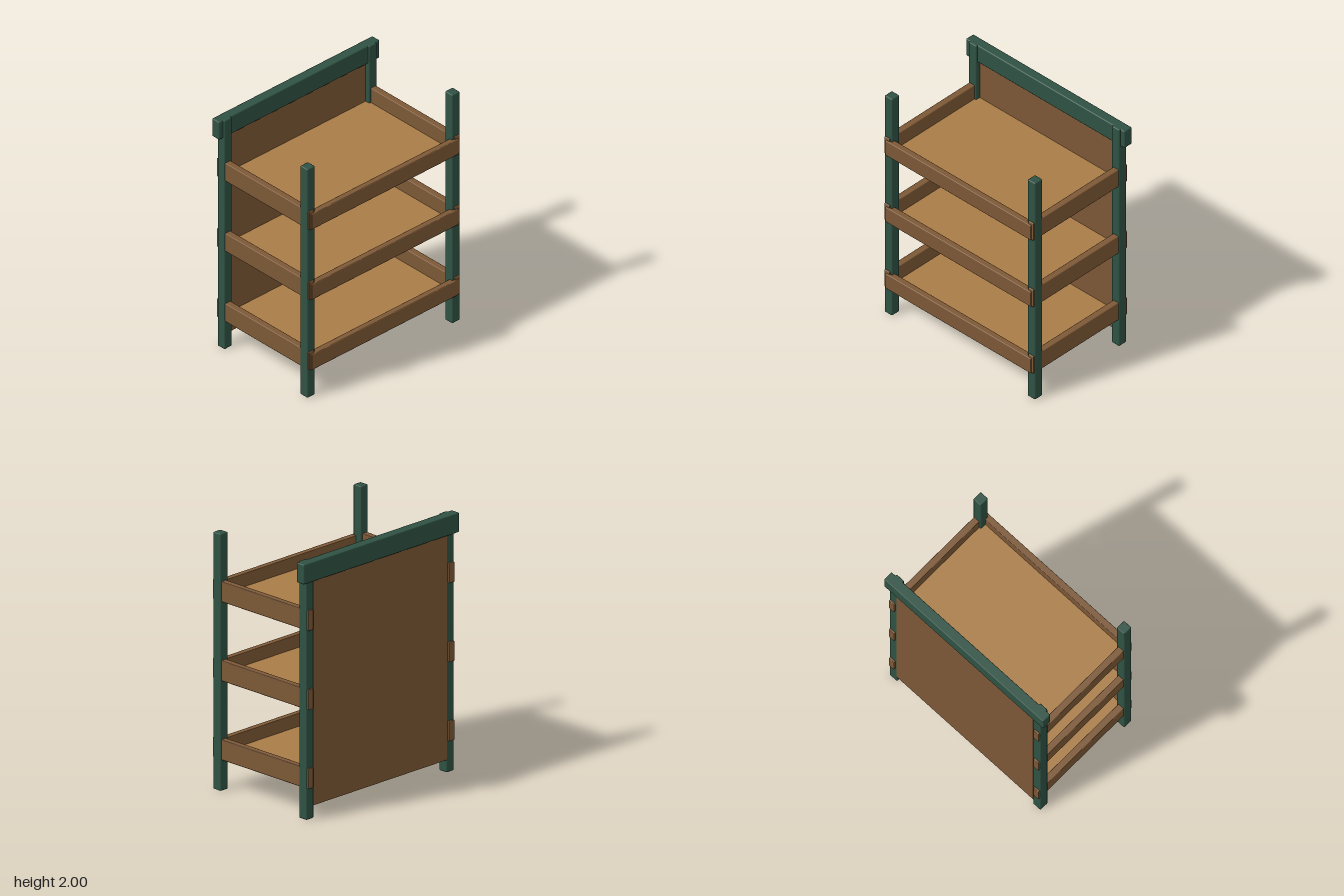
import * as THREE from 'three';
import { RoundedBoxGeometry } from 'three/addons/geometries/RoundedBoxGeometry.js';

const mat = (name, color) => {
  const m = new THREE.MeshStandardMaterial({ color });
  m.name = name;
  return m;
};

export function createModel() {
  const green = mat('green paint', 0x2f5244);
  const wood = mat('dark wood', 0x7c5836);
  const board = mat('light wood', 0xa97c47);
  const model = new THREE.Group();
  model.name = 'shelfRack';

  // Box between two corners, with softened edges when bevel is set
  const box = (name, material, [x0, x1], [y0, y1], [z0, z1], bevel = 0, parent = model) => {
    const size = [x1 - x0, y1 - y0, z1 - z0];
    const geo = bevel ? new RoundedBoxGeometry(...size, 1, bevel) : new THREE.BoxGeometry(...size);
    const mesh = new THREE.Mesh(geo, material);
    mesh.position.set((x0 + x1) / 2, (y0 + y1) / 2, (z0 + z1) / 2);
    mesh.name = name;
    parent.add(mesh);
  };
  const side = (s, a, b) => (s > 0 ? [a, b] : [-b, -a]);

  // Four corner posts
  for (const s of [-1, 1]) {
    const label = s > 0 ? 'Left' : 'Right';
    box('frontPost' + label, green, side(s, 0.688, 0.764), [0, 2], [0.402, 0.48], 0.008);
    box('backPost' + label, green, side(s, 0.688, 0.764), [0, 2], [-0.485, -0.408], 0.008);
  }

  // Back panel and the header board across its top
  box('backPanel', wood, [-0.692, 0.692], [0.1, 1.88], [-0.487, -0.447]);
  box('headerBoard', green, [-0.805, 0.805], [1.846, 2], [-0.5, -0.422], 0.008);

  // Three trays: shelf board, side rails and a lower front rail
  [0.225, 0.84, 1.455].forEach((y, i) => {
    const tray = new THREE.Group();
    tray.name = 'tray' + (i + 1);
    model.add(tray);
    box('shelfBoard', board, [-0.72, 0.72], [y, y + 0.05], [-0.45, 0.46], 0, tray);
    box('frontRail', wood, [-0.74, 0.74], [y + 0.017, y + 0.152], [0.45, 0.5], 0.006, tray);
    for (const s of [-1, 1]) {
      box(s > 0 ? 'sideRailLeft' : 'sideRailRight', wood, side(s, 0.704, 0.757),
        [y + 0.017, y + 0.175], [-0.5, 0.49], 0.006, tray);
    }
  });
  return model;
}
